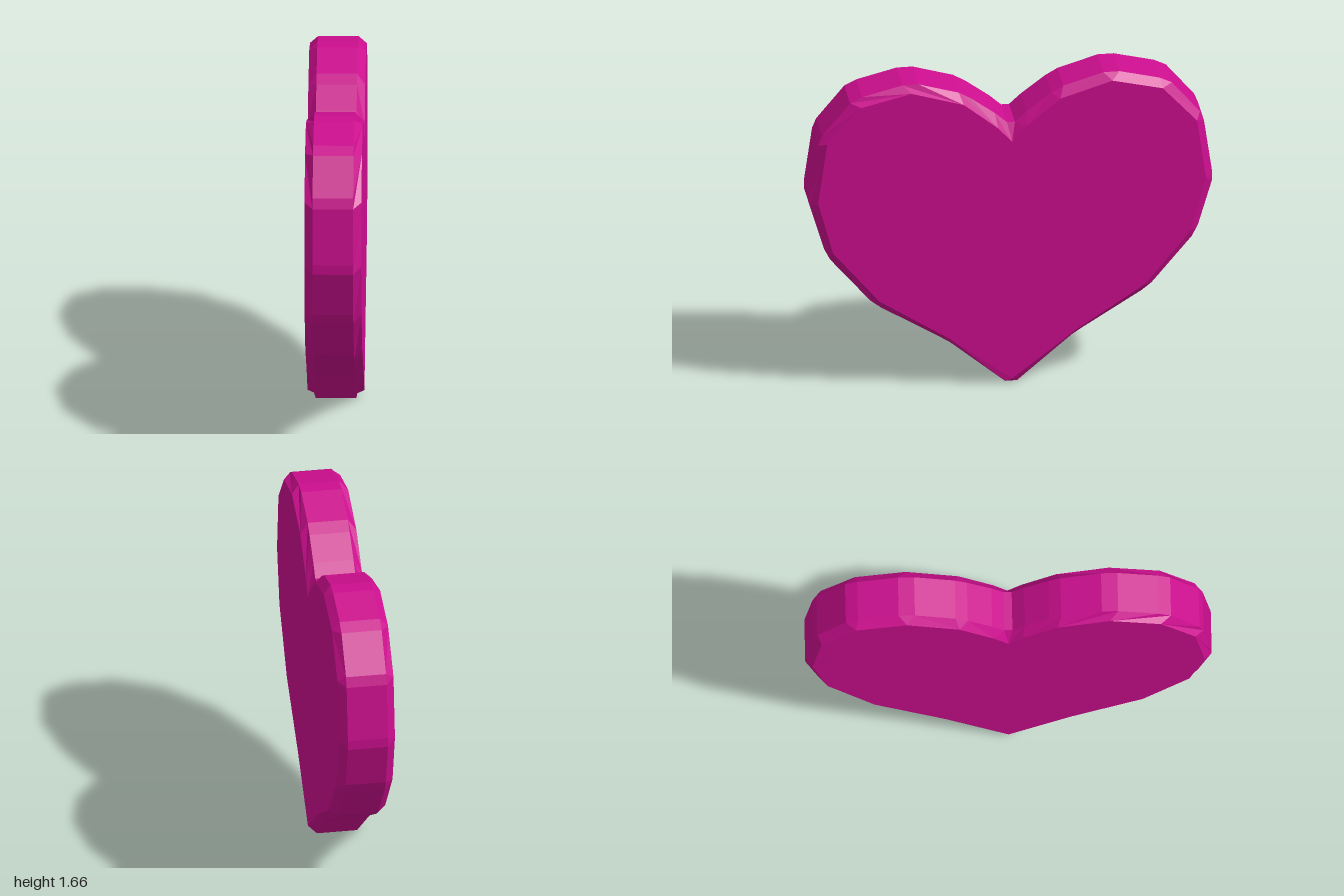
import * as THREE from 'three';

// Half outline of the flat cap, from the bottom tip to the top notch: [across, up]
const capHalf = [[0, 0.03], [0.31, 0.27], [0.66, 0.5], [0.89, 0.78], [0.965, 1.06],
  [0.92, 1.38], [0.75, 1.57], [0.5, 1.63], [0.24, 1.55], [0.07, 1.41], [0, 1.33]];

// Half outline of the rim: two points per cap corner, one each at tip and notch
const rimHalf = [[0.03, 0], [0.3, 0.23], [0.36, 0.27], [0.65, 0.45], [0.7, 0.49],
  [0.9, 0.73], [0.93, 0.79], [1, 1.03], [1, 1.08], [0.96, 1.36], [0.94, 1.41],
  [0.8, 1.58], [0.74, 1.61], [0.54, 1.66], [0.46, 1.66], [0.26, 1.6], [0.2, 1.565],
  [0.08, 1.475], [0.02, 1.42]];

const CAP_X = 0.14, RIM_X = 0.1;
const flip = ([u, y]) => [-u, y];

function heartGeometry() {
  const cap = [...capHalf, ...capHalf.slice(1, -1).reverse().map(flip)];
  const rim = [flip(rimHalf[0]), ...rimHalf, ...rimHalf.slice(1).reverse().map(flip)];
  const n = cap.length, m = rim.length;
  const positions = [];
  const tri = (...corners) => corners.forEach(([x, [u, y]]) => positions.push(x, y, -u));
  const C = (s, i) => [s * CAP_X, cap[i % n]];
  const R = (s, i) => [s * RIM_X, rim[i % m]];

  // Caps and bevels on both sides, winding reversed on the -x side
  const faces = THREE.ShapeUtils.triangulateShape(cap.map(p => new THREE.Vector2(...p)), []);
  for (const s of [1, -1]) {
    const side = (a, b, c) => (s > 0 ? tri(a, b, c) : tri(a, c, b));
    for (const [a, b, c] of faces) side(C(s, a), C(s, b), C(s, c));
    for (let i = 0; i < n; i++) {
      side(R(s, 2 * i), R(s, 2 * i + 1), C(s, i));
      side(R(s, 2 * i + 1), R(s, 2 * i + 2), C(s, i + 1));
      side(R(s, 2 * i + 1), C(s, i + 1), C(s, i));
    }
  }

  // Straight rim band
  for (let j = 0; j < m; j++) {
    tri(R(-1, j), R(-1, j + 1), R(1, j + 1));
    tri(R(-1, j), R(1, j + 1), R(1, j));
  }

  const geometry = new THREE.BufferGeometry();
  geometry.setAttribute('position', new THREE.Float32BufferAttribute(positions, 3));
  geometry.computeVertexNormals();
  return geometry;
}

export function createModel() {
  const group = new THREE.Group();
  group.name = 'heartModel';
  const material = new THREE.MeshStandardMaterial({ color: 0xcc0e8e, flatShading: true });
  const heart = new THREE.Mesh(heartGeometry(), material);
  heart.name = 'heart';
  group.add(heart);
  return group;
}
